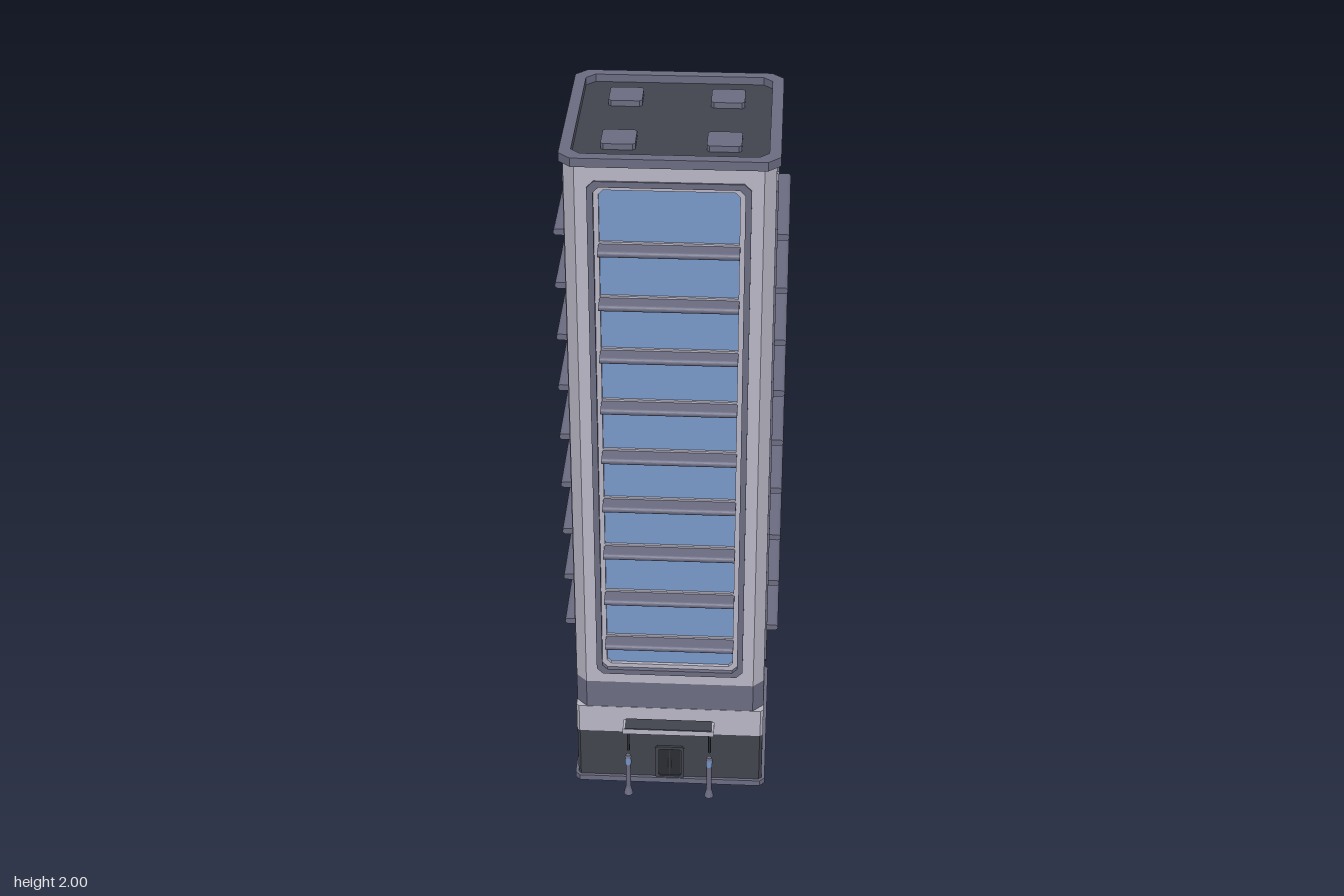
import * as THREE from 'three';

const mat = (name, hex) => {
  const m = new THREE.MeshStandardMaterial({ color: hex });
  m.name = name;
  return m;
};

export function createModel() {
  const slate = mat('slate trim', 0x6b6c82);
  const dark = mat('dark stone', 0x41454d);
  const light = mat('light stone', 0xb9b7c5);
  const glass = mat('blue glass', 0x7898c8);
  const black = mat('black metal', 0x2b2d33);

  const root = new THREE.Group();
  root.name = 'tower';
  const building = new THREE.Group();
  building.name = 'building';
  building.position.z = -0.0235;
  root.add(building);

  const add = (parent, name, geo, material, x = 0, y = 0, z = 0) => {
    const m = new THREE.Mesh(geo, material);
    m.name = name;
    m.position.set(x, y, z);
    parent.add(m);
    return m;
  };
  const box = (parent, name, w, h, d, material, x, y, z) =>
    add(parent, name, new THREE.BoxGeometry(w, h, d), material, x, y, z);

  // Rectangle with cut corners
  const cutRect = (x0, x1, y0, y1, c, Type = THREE.Shape) => new Type([
    [x0 + c, y0], [x1 - c, y0], [x1, y0 + c], [x1, y1 - c],
    [x1 - c, y1], [x0 + c, y1], [x0, y1 - c], [x0, y0 + c],
  ].map(([x, y]) => new THREE.Vector2(x, y)));
  const square = (h, c, Type) => cutRect(-h, h, -h, h, c, Type);
  const extrude = (shape, depth) => new THREE.ExtrudeGeometry(shape, { depth, bevelEnabled: false, curveSegments: 6 });
  const slab = (name, shape, y0, y1, material, x = 0, z = 0) =>
    add(building, name, extrude(shape, y1 - y0).rotateX(-Math.PI / 2), material, x, y0, z);
  const frame = (parent, name, w, y0, y1, c, rim, depth, material, z) => {
    const s = cutRect(-w, w, y0, y1, c);
    s.holes.push(cutRect(-w + rim, w - rim, y0 + rim, y1 - rim, c * 0.8, THREE.Path));
    return add(parent, name, extrude(s, depth), material, 0, 0, z);
  };

  // Base, with a shallow entrance recess at the back
  const notched = (h, c) => new THREE.Shape([
    [-h + c, -h], [h - c, -h], [h, -h + c], [h, h - c], [h - c, h], [0.085, h], [0.085, 0.24],
    [-0.085, 0.24], [-0.085, h], [-h + c, h], [-h, h - c], [-h, -h + c],
  ].map(([x, y]) => new THREE.Vector2(x, y)));
  slab('plinth', notched(0.277, 0.014), 0, 0.018, slate);
  slab('baseWall', notched(0.268, 0.008), 0.018, 0.18, dark);
  slab('lightBand', square(0.269, 0.008), 0.18, 0.27, light);
  slab('slateBand', square(0.268, 0.03), 0.27, 0.36, slate);

  // Glazed core and chamfered corner columns
  box(building, 'glassCore', 0.506, 1.56, 0.506, glass, 0, 1.165, 0).scale.set(0.94, 1, 0.94);
  const corner = new THREE.Shape([[0.238, 0.238], [0.268, 0.238], [0.238, 0.268]].map(([x, y]) => new THREE.Vector2(x, y)));
  for (let i = 0; i < 4; i++) slab('cornerColumn', corner, 0.36, 1.976, light).rotation.y = i * Math.PI / 2;

  // Four identical facades
  const louvre = new THREE.Shape();
  louvre.moveTo(0.25, -0.009);
  louvre.lineTo(0.2945, -0.009);
  louvre.absarc(0.2945, 0, 0.009, -Math.PI / 2, Math.PI / 2, false);
  louvre.lineTo(0.25, 0.009);
  const louvreGeo = extrude(louvre, 0.36).translate(0, 0, -0.18).rotateY(-Math.PI / 2);
  for (let i = 0; i < 4; i++) {
    const f = new THREE.Group();
    f.name = 'facade';
    f.rotation.y = i * Math.PI / 2;
    building.add(f);
    const wall = cutRect(-0.238, 0.238, 0.36, 1.976, 0);
    wall.holes.push(cutRect(-0.2, 0.2, 0.4, 1.925, 0.015, THREE.Path));
    add(f, 'facadeWall', extrude(wall, 0.03), light, 0, 0, 0.238);
    box(f, 'windowGlass', 0.42, 1.54, 0.008, glass, 0, 1.163, 0.246);
    frame(f, 'outerWindowFrame', 0.207, 0.392, 1.935, 0.018, 0.016, 0.027, slate, 0.246);
    frame(f, 'innerWindowFrame', 0.192, 0.407, 1.92, 0.015, 0.014, 0.014, light, 0.246);
    for (let k = 0; k < 9; k++) {
      const y = 0.505 + k * 0.155;
      box(f, 'windowRail', 0.36, 0.034, 0.01, light, 0, y - 0.003, 0.252);
      add(f, 'sunLouvre', louvreGeo, slate, 0, y, 0);
    }
  }

  // Roof
  slab('roofDeck', square(0.252, 0.025), 1.96, 1.979, dark);
  const rim = square(0.278, 0.032);
  rim.holes.push(square(0.248, 0.024, THREE.Path));
  slab('parapet', rim, 1.976, 2, slate);
  for (const x of [-1, 1]) for (const z of [-1, 1])
    slab('roofUnit', square(0.044, 0.007), 1.978, 1.995, slate, x * 0.134, z * 0.134);

  // Front door
  const front = new THREE.Group();
  front.name = 'frontDoor';
  building.add(front);
  frame(front, 'doorFrame', 0.042, 0.016, 0.132, 0.006, 0.009, 0.008, dark, 0.267);
  for (const s of [-1, 1]) {
    box(front, 'doorLeaf', 0.03, 0.105, 0.005, black, s * 0.016, 0.07, 0.268);
    box(front, 'doorHandle', 0.003, 0.03, 0.005, slate, s * 0.005, 0.07, 0.272);
  }

  // Front canopy, hangers and bollards
  const canopy = new THREE.Group();
  canopy.name = 'canopy';
  root.add(canopy);
  box(canopy, 'canopySlab', 0.26, 0.018, 0.043, light, 0, 0.245, 0.303);
  box(canopy, 'canopyTop', 0.248, 0.004, 0.045, dark, 0, 0.2545, 0.3025);
  for (const s of [-1, 1]) {
    const x = s * 0.117;
    add(canopy, 'canopyRod', new THREE.CylinderGeometry(0.004, 0.004, 0.09, 8), black, x, 0.193, 0.288);
    add(canopy, 'bollardFoot', new THREE.CylinderGeometry(0.008, 0.014, 0.025, 8), slate, x, 0.0125, 0.304);
    add(canopy, 'bollardShaft', new THREE.CylinderGeometry(0.007, 0.008, 0.085, 8), slate, x, 0.0675, 0.304);
    add(canopy, 'bollardLamp', new THREE.CylinderGeometry(0.009, 0.009, 0.025, 8), glass, x, 0.1225, 0.304);
    add(canopy, 'bollardCap', new THREE.CylinderGeometry(0.007, 0.01, 0.008, 8), slate, x, 0.139, 0.304);
  }

  // Back entrance and its two windows
  const back = new THREE.Group();
  back.name = 'backEntrance';
  back.rotation.y = Math.PI;
  building.add(back);
  frame(back, 'backDoorFrame', 0.05, 0.002, 0.15, 0.004, 0.012, 0.014, slate, 0.24);
  box(back, 'backDoor', 0.08, 0.13, 0.006, dark, 0, 0.075, 0.243);
  box(back, 'entranceLintel', 0.17, 0.02, 0.03, dark, 0, 0.17, 0.254);
  for (const s of [-1, 1]) {
    box(back, 'backDoorGlass', 0.024, 0.085, 0.004, glass, s * 0.016, 0.085, 0.246);
    const w = new THREE.Group();
    w.name = 'backWindow';
    w.position.x = s * 0.18;
    back.add(w);
    frame(w, 'windowSurround', 0.068, 0.048, 0.135, 0.01, 0.012, 0.009, slate, 0.267);
    box(w, 'windowPanel', 0.116, 0.066, 0.004, dark, 0, 0.0915, 0.268);
    for (const t of [-1, 1]) box(w, 'windowPane', 0.036, 0.04, 0.004, glass, t * 0.021, 0.0915, 0.27);
  }
  return root;
}
